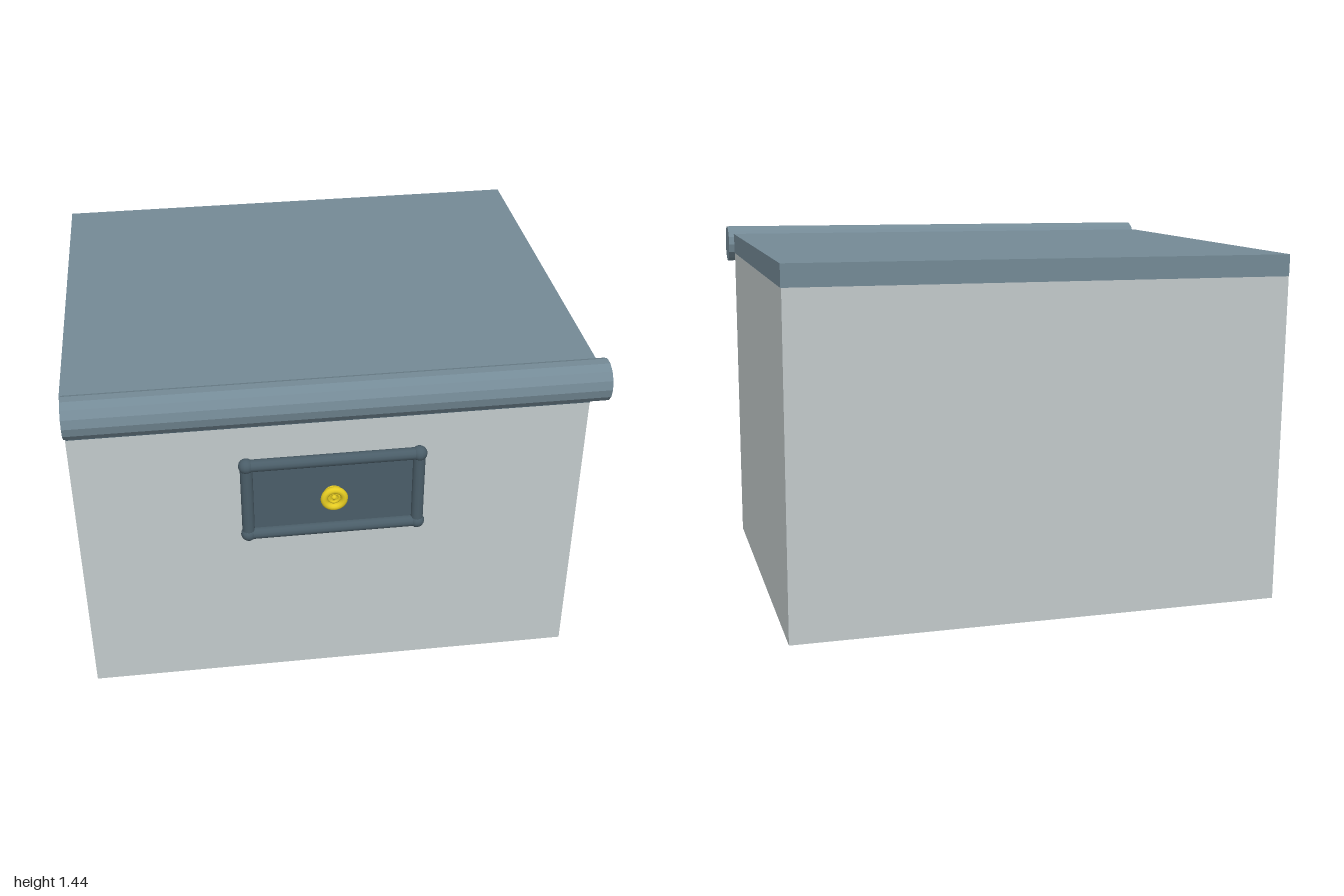
import * as THREE from 'three';

const mat = (color, flatShading = false) => new THREE.MeshStandardMaterial({ color, flatShading });

export function createModel() {
  const model = new THREE.Group();
  model.name = 'box';
  // the whole box leans and turns very slightly
  model.position.y = 0.0075;
  model.rotation.set(0, 0.0075, 0.0075);

  const grey = mat(0xc2cacb), slate = mat(0x748a96);
  const slateFlat = mat(0x748a96, true), dark = mat(0x4a5d68), gold = mat(0xe6cc22);

  const add = (name, geometry, material, x, y, z, parent = model) => {
    const mesh = new THREE.Mesh(geometry, material);
    mesh.name = name;
    mesh.position.set(x, y, z);
    parent.add(mesh);
    return mesh;
  };

  // body and lid
  add('body', new THREE.BoxGeometry(1.966, 1.31, 1.545), grey, -0.002, 0.655, -0.076);
  add('lid', new THREE.BoxGeometry(1.97, 0.085, 1.55), slate, -0.001, 1.3525, -0.074);

  // rolled front edge of the lid and the strip below it
  const roll = add('lidRoll', new THREE.CylinderGeometry(0.079, 0.079, 1.985, 14), slateFlat, 0.015, 1.348, 0.764);
  roll.rotation.z = Math.PI / 2;
  add('lidStrip', new THREE.BoxGeometry(1.955, 0.1, 0.04), dark, -0.003, 1.268, 0.698);

  // framed plate on the front
  const plate = new THREE.Group();
  plate.name = 'frontPlate';
  plate.position.set(-0.002, 0.888, 0.724);
  model.add(plate);
  const hw = 0.33, hh = 0.16;
  add('platePanel', new THREE.BoxGeometry(hw * 2, hh * 2, 0.03), dark, 0, 0, -0.016, plate);
  for (const s of [-1, 1]) {
    const rail = add('frameRail', new THREE.CylinderGeometry(0.024, 0.024, hw * 2, 12), dark, 0, s * hh, 0, plate);
    rail.rotation.z = Math.PI / 2;
    add('framePost', new THREE.CylinderGeometry(0.024, 0.024, hh * 2, 12), dark, s * hw, 0, 0, plate);
    for (const t of [-1, 1]) {
      add('frameCorner', new THREE.SphereGeometry(0.03, 14, 10), dark, s * hw, t * hh, 0, plate);
    }
  }

  // gold knob: outer ring, dished centre and small button
  add('knobRing', new THREE.TorusGeometry(0.039, 0.014, 10, 24), gold, 0, 0, 0.031, plate);
  add('knobInnerRing', new THREE.TorusGeometry(0.02, 0.006, 8, 20), gold, 0, 0, 0.026, plate);
  const disc = add('knobDisc', new THREE.CylinderGeometry(0.038, 0.038, 0.024, 24), gold, 0, 0, 0.01, plate);
  disc.rotation.x = Math.PI / 2;
  add('knobButton', new THREE.SphereGeometry(0.01, 12, 8), gold, 0, 0, 0.024, plate);

  return model;
}
